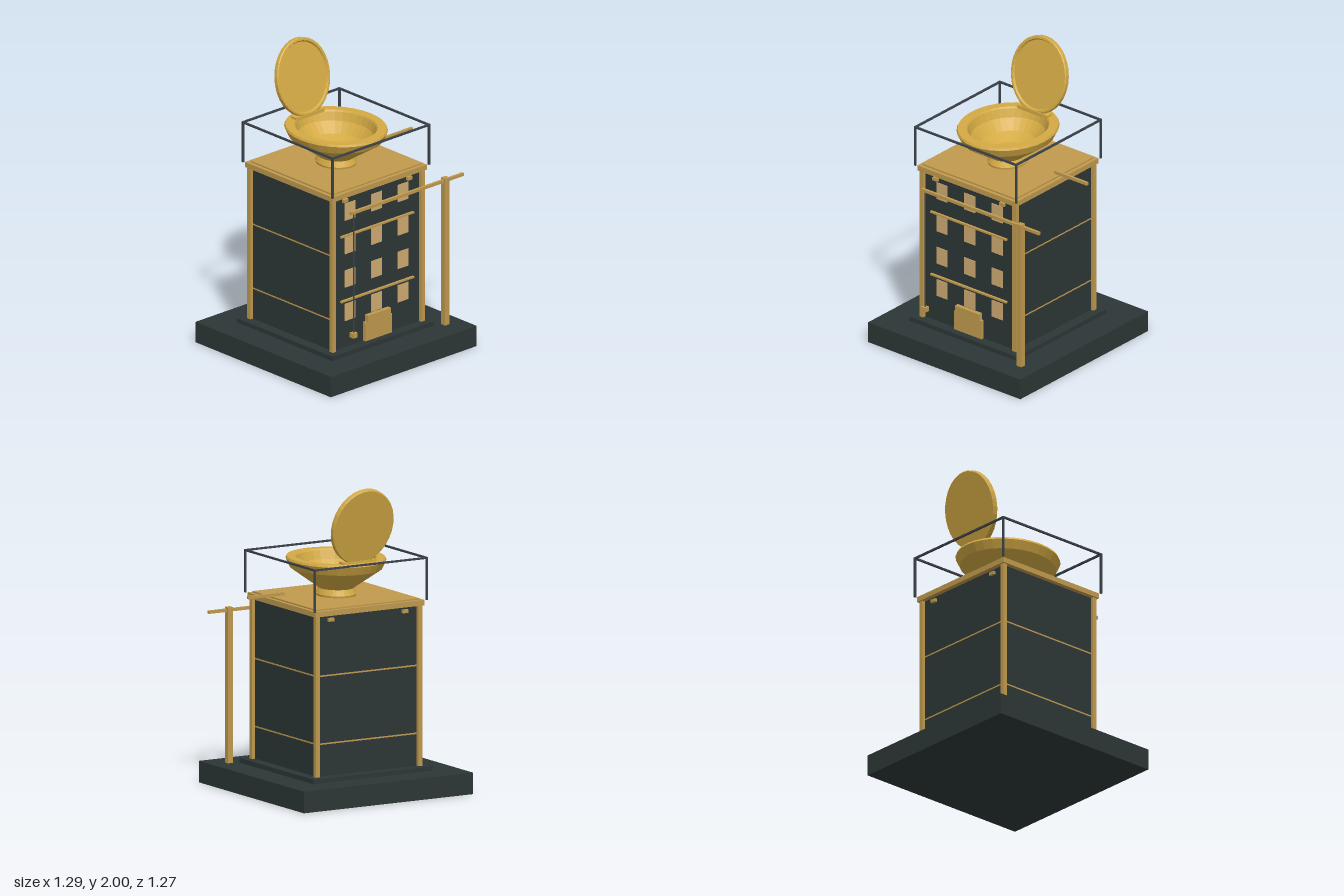
import * as THREE from 'three';

const mat = (name, color) => {
  const m = new THREE.MeshStandardMaterial({ color });
  m.name = name;
  return m;
};

export function createModel() {
  const dark = mat('dark slate', 0x2d3636);
  const trim = mat('ochre trim', 0xc09a4e);
  const gold = mat('polished gold', 0xd4aa44);
  const pane = mat('pale window', 0xcfab72);
  const iron = mat('rail iron', 0x3c434a);

  const root = new THREE.Group();
  root.name = 'towerWithBowl';
  const cx = -0.016; // centre line of the building

  // Box given by its lower and upper corners
  const box = (name, m, x0, x1, y0, y1, z0, z1) => {
    const mesh = new THREE.Mesh(new THREE.BoxGeometry(x1 - x0, y1 - y0, z1 - z0), m);
    mesh.position.set((x0 + x1) / 2, (y0 + y1) / 2, (z0 + z1) / 2);
    mesh.name = name;
    root.add(mesh);
    return mesh;
  };
  // Box centred on the building axis
  const slab = (name, m, hx, y0, y1, hz) => box(name, m, cx - hx, cx + hx, y0, y1, -hz, hz);

  // Faceted oval turned shape
  const oval = (points, stretch) => {
    const g = new THREE.LatheGeometry(points.map(([r, y]) => new THREE.Vector2(r, y)), 32);
    g.scale(1, 1, stretch);
    const flat = g.toNonIndexed();
    flat.computeVertexNormals();
    return flat;
  };

  // Ground slab, plinth, walls and roof
  slab('base', dark, 0.633, 0, 0.14, 0.633);
  slab('plinth', dark, 0.446, 0.14, 0.17, 0.446);
  slab('walls', dark, 0.378, 0.17, 1.21, 0.378);
  slab('cornice', trim, 0.41, 1.21, 1.245, 0.41);
  slab('roofDeck', trim, 0.386, 1.245, 1.255, 0.386);

  // Corner pillars
  for (const sx of [-1, 1]) for (const sz of [-1, 1]) {
    const x = cx + sx * 0.385, z = sz * 0.385;
    box('cornerPillar', trim, x - 0.015, x + 0.015, 0.17, 1.21, z - 0.015, z + 0.015);
  }

  // Thin floor lines on the sides and back
  for (const y of [0.38, 0.82]) {
    for (const s of [-1, 1]) {
      const x = cx + s * 0.378;
      box('sideFloorLine', trim, x - 0.001, x + 0.001, y - 0.005, y + 0.005, -0.37, 0.37);
    }
    box('backFloorLine', trim, cx - 0.37, cx + 0.37, y - 0.005, y + 0.005, -0.379, -0.377);
  }

  // Front windows, ledges and door
  for (let row = 0; row < 4; row++) for (let col = -1; col <= 1; col++) {
    const x = cx + col * 0.23, y = 0.408 + row * 0.23;
    box('window', pane, x - 0.046, x + 0.046, y - 0.059, y + 0.059, 0.376, 0.382);
  }
  for (const y of [0.492, 0.937]) box('frontLedge', trim, cx - 0.317, cx + 0.3145, y - 0.006, y + 0.006, 0.375, 0.394);
  box('door', trim, cx - 0.115, cx + 0.115, 0.17, 0.3, 0.37, 0.4);
  box('doorHeader', trim, cx - 0.1, cx + 0.1, 0.295, 0.345, 0.37, 0.408);

  // Small brackets under the cornice, front and back
  for (const sx of [-1, 1]) for (const sz of [-1, 1]) {
    const x = cx + sx * 0.278, z = sz * 0.383;
    box('corniceBracket', trim, x - 0.02, x + 0.02, 1.17, 1.192, z - 0.013, z + 0.013);
  }

  // Crane: mast, long beam, rope and weight, with a roof beam
  box('craneMast', trim, 0.472, 0.51, 0.14, 1.15, 0.459, 0.496);
  box('craneBeam', trim, -0.334, 0.645, 1.12, 1.14, 0.468, 0.486);
  box('craneRope', iron, -0.308, -0.302, 0.3, 1.12, 0.474, 0.48);
  box('ropeWeight', trim, -0.324, -0.287, 0.271, 0.303, 0.459, 0.495);
  box('roofBeam', trim, 0.375, 0.645, 1.29, 1.31, -0.009, 0.009);

  // Roof railing
  const hr = 0.419, t = 0.006;
  for (const s of [-1, 1]) {
    const x = cx + s * hr, z = s * hr;
    box('sideRail', iron, x - t, x + t, 1.512, 1.524, -hr - t, hr + t);
    box('crossRail', iron, cx - hr - t, cx + hr + t, 1.512, 1.524, z - t, z + t);
    for (const q of [-1, 1]) box('railPost', iron, x - t, x + t, 1.245, 1.512, q * hr - t, q * hr + t);
  }

  // Oval bowl on a flared foot
  const bowl = new THREE.Mesh(oval([
    [0, 1.255], [0.122, 1.255], [0.125, 1.268], [0.11, 1.305], [0.118, 1.312],
    [0.285, 1.435], [0.31, 1.49], [0.304, 1.504], [0.25, 1.504], [0.243, 1.495],
    [0.225, 1.44], [0.17, 1.375], [0.095, 1.335], [0, 1.33],
  ], 1.14), gold);
  bowl.name = 'bowl';
  bowl.position.x = cx;
  root.add(bowl);

  // Open lid leaning back on its hinge
  const lidShape = oval([
    [0, -0.02], [0.219, -0.02], [0.225, -0.014], [0.225, 0.012], [0.219, 0.018],
    [0.207, 0.018], [0.2, 0.006], [0, 0.006],
  ], 1.135);
  lidShape.rotateX(Math.PI / 2);
  const lid = new THREE.Mesh(lidShape, gold);
  lid.name = 'lid';
  lid.position.set(cx, 1.747, -0.315);
  lid.rotation.x = -0.23;
  root.add(lid);
  box('lidHinge', gold, cx - 0.125, cx + 0.125, 1.495, 1.518, -0.285, -0.24);

  return root;
}
